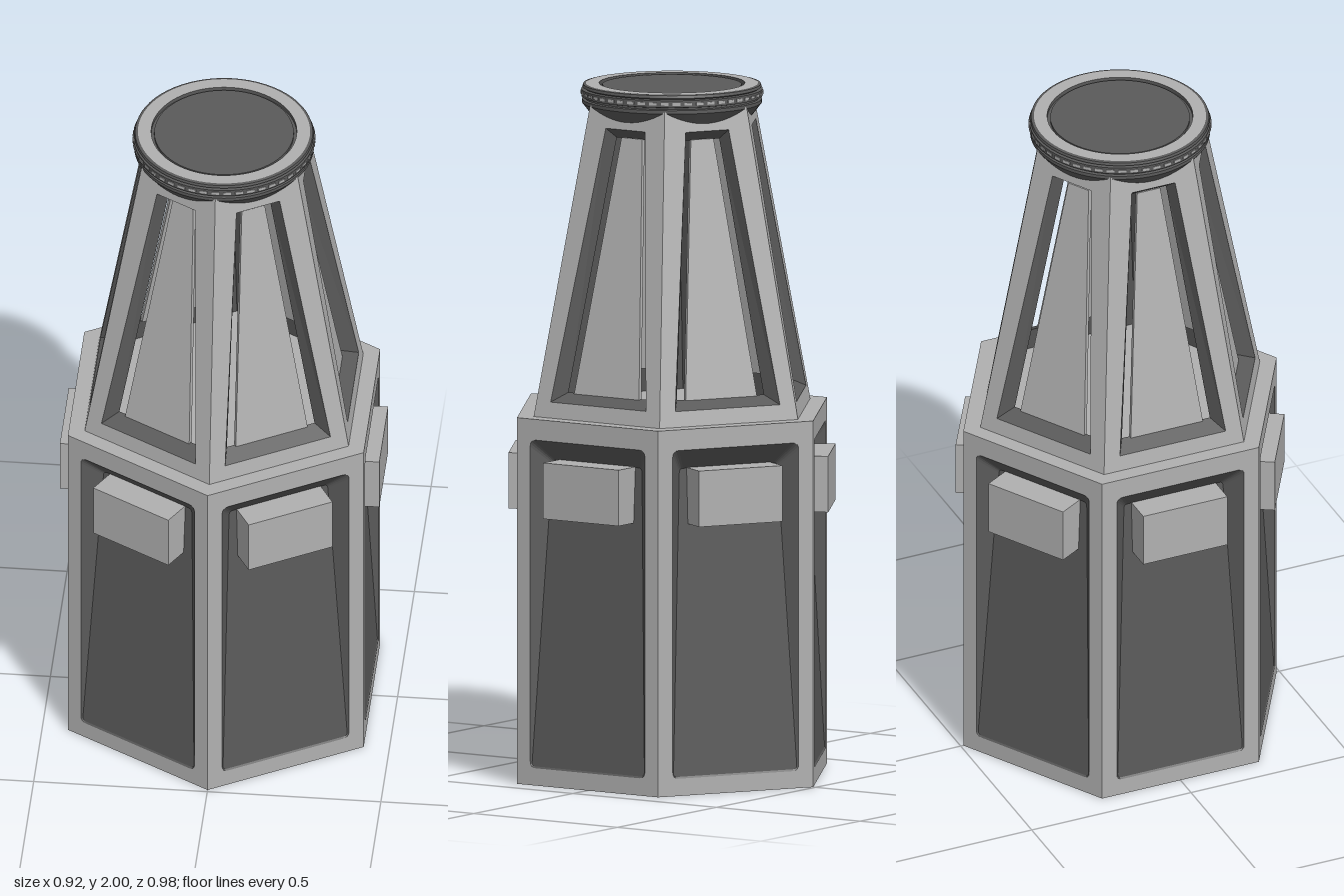
import * as THREE from 'three';

const light = new THREE.MeshStandardMaterial({ color: 0xb0b0b0, side: THREE.DoubleSide });
light.name = 'light grey metal';
const dark = new THREE.MeshStandardMaterial({ color: 0x5a5a5a, side: THREE.DoubleSide });
dark.name = 'dark grey metal';

const T = Math.tan(Math.PI / 6);
const BODY = 0.426, BODY_TOP = 1.06, TOWER_TOP = 1.95;
const towerApothem = y => 0.38 - 0.174 * (y - BODY_TOP);

function add(parent, name, geometry, material) {
  const mesh = new THREE.Mesh(geometry, material);
  mesh.name = name;
  parent.add(mesh);
  return mesh;
}

// Symmetric trapezoid outline with small rounded corners, counter-clockwise
function trapezoid(w0, y0, w1, y1, r = 0) {
  const c = [[-w0, y0], [w0, y0], [w1, y1], [-w1, y1]].map(p => new THREE.Vector2(...p));
  if (!r) return c;
  const out = [];
  c.forEach((p, i) => {
    const a = p.clone().add(c[(i + 3) % 4].clone().sub(p).setLength(r));
    const b = p.clone().add(c[(i + 1) % 4].clone().sub(p).setLength(r));
    out.push(...new THREE.QuadraticBezierCurve(a, p, b).getPoints(4));
  });
  return out;
}

// Moves a flat (u, y) geometry onto a sloping hexagon side
function onSide(geometry, distance) {
  const p = geometry.attributes.position;
  for (let i = 0; i < p.count; i++) p.setZ(i, p.getZ(i) + distance(p.getY(i)));
  geometry.computeVertexNormals();
  return geometry;
}

function plate(outline, holes, distance) {
  const shape = new THREE.Shape(outline);
  holes.forEach(h => shape.holes.push(new THREE.Path(h)));
  return onSide(new THREE.ShapeGeometry(shape), distance);
}

// Sloping walls between an outer and an inner outline
function walls(outer, inner, outerDist, innerDist) {
  const pos = [], n = outer.length;
  const o = outer.map(p => [p.x, p.y, outerDist(p.y)]);
  const q = inner.map(p => [p.x, p.y, innerDist(p.y)]);
  for (let i = 0; i < n; i++) {
    const j = (i + 1) % n;
    pos.push(...o[i], ...o[j], ...q[j], ...o[i], ...q[j], ...q[i]);
  }
  const g = new THREE.BufferGeometry();
  g.setAttribute('position', new THREE.Float32BufferAttribute(pos, 3));
  g.computeVertexNormals();
  return g;
}

function hexagon(apothem) {
  return Array.from({ length: 6 }, (_, i) => {
    const a = Math.PI / 2 + i * Math.PI / 3, r = apothem / Math.cos(Math.PI / 6);
    return new THREE.Vector2(r * Math.cos(a), r * Math.sin(a));
  });
}

// One side of the base: frame, sloping recessed panel and block
function bodySide() {
  const g = new THREE.Group();
  const flat = () => BODY;
  const sunk = y => BODY - 0.003 - 0.047 * (y - 0.055) / 0.885;
  const rim = trapezoid(0.2, 0.05, 0.2, 1.0, 0.02);
  const floor = trapezoid(0.196, 0.055, 0.155, 0.94, 0.012);
  const half = BODY * T;
  add(g, 'bodyFrame', plate(trapezoid(half, 0, half, BODY_TOP), [rim], flat), light);
  add(g, 'recessWalls', walls(rim, floor, flat, sunk), dark);
  add(g, 'recessPanel', plate(floor, [], sunk), dark);
  add(g, 'sideBlock', new THREE.BoxGeometry(0.264, 0.162, 0.084), light)
    .position.set(0, 0.861, 0.418);
  return g;
}

// One side of the tower: frame, deep window walls, lining and inner shutter
function towerSide() {
  const g = new THREE.Group();
  const a = towerApothem;
  const inside = y => a(y) - 0.045;
  const rim = trapezoid(0.166, 1.105, 0.068, 1.89);
  const opening = trapezoid(0.138, 1.13, 0.057, 1.86);
  add(g, 'towerFrame', plate(
    trapezoid(a(BODY_TOP) * T, BODY_TOP, a(TOWER_TOP) * T, TOWER_TOP), [rim], a), light);
  add(g, 'windowWalls', walls(rim, opening, a, inside), dark);
  add(g, 'windowLining', plate(
    trapezoid(inside(BODY_TOP) * T, BODY_TOP, inside(TOWER_TOP) * T, TOWER_TOP),
    [opening], inside), dark);
  const shutter = new THREE.ExtrudeGeometry(
    new THREE.Shape(trapezoid(0.113, 1.128, 0.036, 1.862)), { depth: 0.012, bevelEnabled: false });
  add(g, 'shutter', onSide(shutter, y => a(y) - 0.05), light);
  return g;
}

export function createModel() {
  const model = new THREE.Group();
  model.name = 'hexagonalTower';

  for (let i = 0; i < 6; i++) {
    const side = new THREE.Group();
    side.name = 'side' + (i + 1);
    side.add(bodySide(), towerSide());
    side.rotation.y = Math.PI / 6 + i * Math.PI / 3;
    model.add(side);
  }

  // Base top
  const top = new THREE.ShapeGeometry(new THREE.Shape(hexagon(BODY)));
  add(model, 'bodyTop', top.rotateX(-Math.PI / 2).translate(0, BODY_TOP, 0), light);

  // Underside: rim with a diagonal bar between two sunken panels
  const under = new THREE.Shape(hexagon(BODY));
  const R = 0.44, barHalf = 0.03, h = R * Math.sqrt(3) / 2;
  for (const s of [1, -1]) {
    const pts = [[-R + barHalf * T, barHalf], [R - barHalf * T, barHalf], [R / 2, h], [-R / 2, h]];
    under.holes.push(new THREE.Path(pts.map(([x, y]) =>
      new THREE.Vector2(x, y * s).rotateAround(new THREE.Vector2(), Math.PI / 6))));
  }
  const frame = new THREE.ExtrudeGeometry(under, { depth: 0.009, bevelEnabled: false });
  add(model, 'undersideFrame', frame.rotateX(Math.PI / 2).translate(0, 0.009, 0), light);
  const pan = new THREE.ShapeGeometry(new THREE.Shape(hexagon(BODY - 0.005)));
  add(model, 'undersidePanels', pan.rotateX(Math.PI / 2).translate(0, 0.008, 0), dark);

  // Round collar flaring out of the tower, with a grooved edge
  const profile = [[0.2, 1.87], [0.258, 1.945], [0.258, 1.955], [0.25, 1.957], [0.25, 1.962],
    [0.26, 1.964], [0.26, 1.984], [0.25, 1.986], [0.257, 1.99], [0.255, 1.998], [0.246, 2.0]];
  const seg = [];
  for (let i = 0; i + 1 < profile.length; i++) {
    seg.push([profile[i], profile[i + 1]]);
  }
  const collar = new THREE.Group();
  collar.name = 'collar';
  seg.forEach(pair => add(collar, 'collarBand',
    new THREE.LatheGeometry(pair.map(p => new THREE.Vector2(...p)), 64), dark));
  model.add(collar);

  // Short raised dashes around the collar
  const dashes = new THREE.Group();
  dashes.name = 'collarDashes';
  for (let i = 0; i < 48; i++) {
    const a = i * Math.PI / 24;
    const d = add(dashes, 'dash', new THREE.BoxGeometry(0.022, 0.008, 0.006), light);
    d.position.set(0.259 * Math.sin(a), 1.974, 0.259 * Math.cos(a));
    d.rotation.y = a;
  }
  model.add(dashes);

  // Light rim and sunken dark lid
  const rim = new THREE.RingGeometry(0.209, 0.247, 64);
  add(model, 'topRim', rim.rotateX(-Math.PI / 2).translate(0, 2, 0), light);
  add(model, 'rimInnerWall', new THREE.CylinderGeometry(0.209, 0.209, 0.012, 64, 1, true), dark)
    .position.y = 1.994;
  add(model, 'lid', new THREE.CylinderGeometry(0.2, 0.2, 0.012, 64), dark).position.y = 1.99;
  const gutter = new THREE.CircleGeometry(0.21, 64);
  add(model, 'lidSeat', gutter.rotateX(-Math.PI / 2).translate(0, 1.988, 0), dark);

  return model;
}
